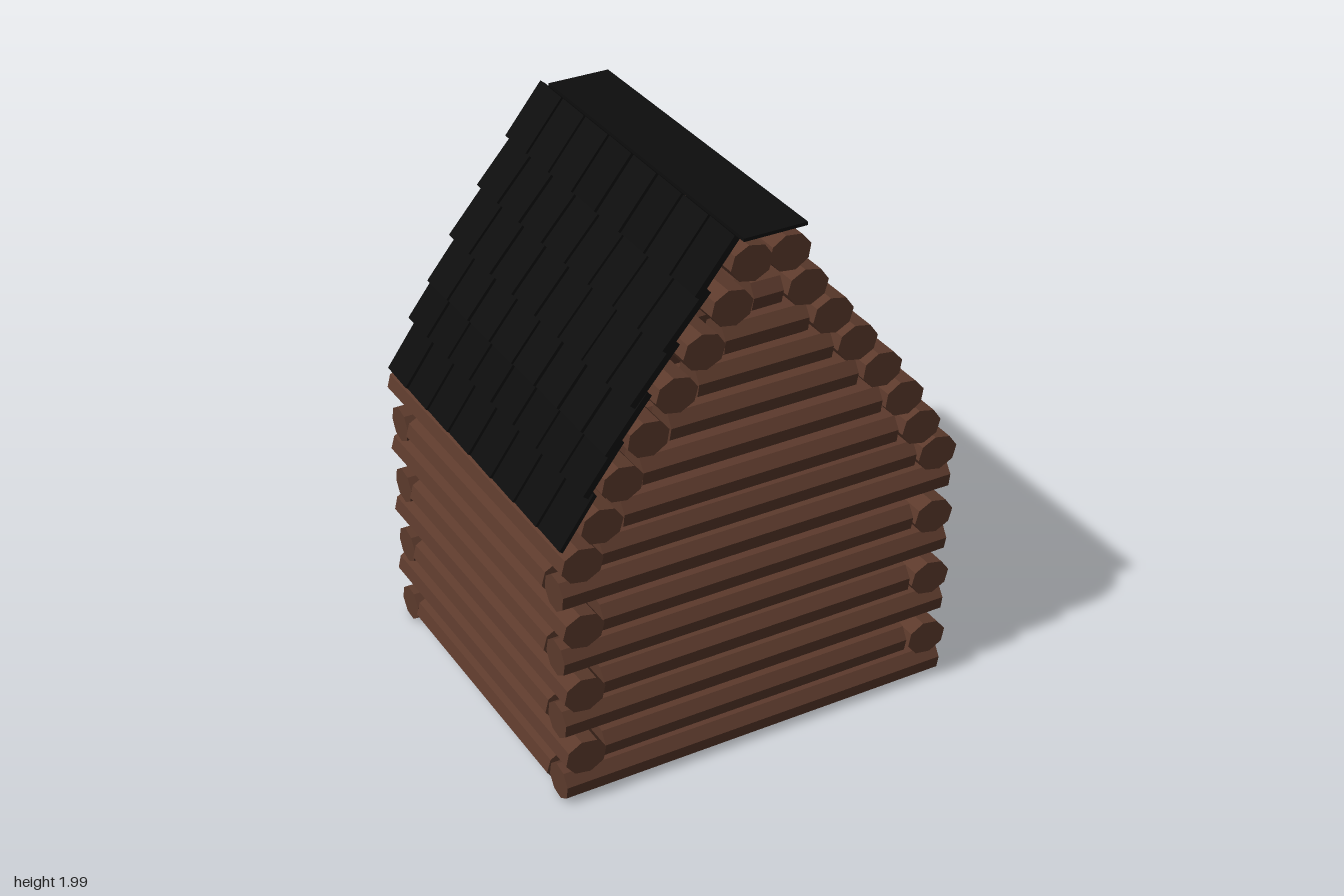
import * as THREE from 'three';

const wood = new THREE.MeshStandardMaterial({ color: 0x5c3a2c, flatShading: true });
wood.name = 'brown wood';
const black = new THREE.MeshStandardMaterial({ color: 0x0d0d0d, flatShading: true });
black.name = 'black slate and iron';

// small seeded generator for hand-cut irregularity
let seed = 7;
const rand = () => (seed = (seed * 16807) % 2147483647) / 2147483647;

export function createModel() {
  const cabin = new THREE.Group();
  cabin.name = 'logCabin';

  const group = (name) => {
    const g = new THREE.Group();
    g.name = name;
    cabin.add(g);
    return g;
  };
  const add = (parent, name, geo, mat, x, y, z) => {
    const m = new THREE.Mesh(geo, mat);
    m.name = name;
    m.position.set(x, y, z);
    parent.add(m);
    return m;
  };
  const box = (parent, name, mat, w, h, d, x, y, z) =>
    add(parent, name, new THREE.BoxGeometry(w, h, d), mat, x, y, z);

  // eight-sided log, slightly tapered, lying along x or z
  const log = (parent, axis, length, x, y, z) => {
    const taper = 0.97 + rand() * 0.03;
    const geo = new THREE.CylinderGeometry(1, taper, length, 8);
    geo.rotateY(0.12 + rand() * 0.14);
    if (axis === 'z') {
      geo.rotateX(Math.PI / 2);
      geo.scale(0.077, 0.066, 1);
    } else {
      geo.rotateZ(Math.PI / 2);
      geo.scale(1, 0.066, 0.066);
    }
    add(parent, 'log', geo, wood, x, y, z);
  };

  // walls: long and short logs alternate at the corners
  const walls = group('walls');
  for (let i = 0; i < 8; i++) {
    const y = 0.067 + i * 0.1282;
    const odd = i % 2 === 1;
    for (const s of [-1, 1]) {
      log(walls, 'x', odd ? 1.2 : 1.49, 0, y, s * 0.588);
      log(walls, 'z', odd ? 1.325 : 1.04, s * 0.678, y, 0);
    }
  }

  // gable logs, [half width, height]
  const gables = group('gables');
  const gableRows = [[0.52, 1.085], [0.45, 1.22], [0.35, 1.358], [0.25, 1.488], [0.155, 1.615], [0.055, 1.747]];
  for (const [half, y] of gableRows)
    for (const s of [-1, 1]) log(gables, 'x', half * 2, 0, y, s * 0.588);

  // roof logs stepping up to the ridge, [x, y]
  const roofLogs = group('roofLogs');
  const roofRows = [[0.605, 1.09], [0.53, 1.225], [0.437, 1.362], [0.335, 1.492], [0.237, 1.62], [0.138, 1.75], [0.07, 1.89]];
  for (const [x, y] of roofRows)
    for (const s of [-1, 1]) log(roofLogs, 'z', 1.325, s * x, y, 0);

  // overlapping shingles on the right slope: [upper x, upper y, lower x, lower y]
  const shingles = group('shingles');
  const courses = [
    [-0.115, 1.985, -0.255, 1.81], [-0.215, 1.825, -0.37, 1.65], [-0.32, 1.665, -0.48, 1.48],
    [-0.42, 1.51, -0.57, 1.325], [-0.52, 1.37, -0.65, 1.2], [-0.62, 1.205, -0.745, 1.03],
  ];
  courses.forEach(([x1, y1, x2, y2], row) => {
    const length = Math.hypot(x1 - x2, y1 - y2);
    const shift = row > 1 && row < 5 ? -0.008 : 0;
    for (let i = 0; i < 8; i++) {
      const tile = box(shingles, 'shingle', black, length, row === 5 ? 0.014 : 0.022, 0.166,
        (x1 + x2) / 2, (y1 + y2) / 2, -0.578 + i * 0.164 + shift);
      tile.rotation.z = Math.atan2(y1 - y2, x1 - x2);
      tile.rotateX(-0.04 - rand() * 0.03);
    }
  });
  box(cabin, 'ridgeCap', black, 0.23, 0.012, 1.3, 0.01, 1.982, 0.02);

  // floor
  box(cabin, 'floor', black, 1.3, 0.02, 1.14, 0, 0.06, 0);

  // plank door on the back wall with iron strips and a ring handle
  const door = group('door');
  box(door, 'doorPlanks', wood, 0.44, 0.73, 0.03, 0, 0.395, -0.645);
  for (const x of [0.1, -0.06]) box(door, 'uprightStrip', black, 0.025, 0.73, 0.008, x, 0.395, -0.663);
  for (const y of [0.295, 0.583]) box(door, 'hingeStrap', black, 0.44, 0.026, 0.015, 0.004, y, -0.667);
  const ring = new THREE.TorusGeometry(0.022, 0.007, 6, 10);
  add(door, 'ringHandle', ring, black, -0.155, 0.415, -0.664);
  box(door, 'handleMount', black, 0.022, 0.03, 0.012, -0.155, 0.437, -0.665);

  return cabin;
}
